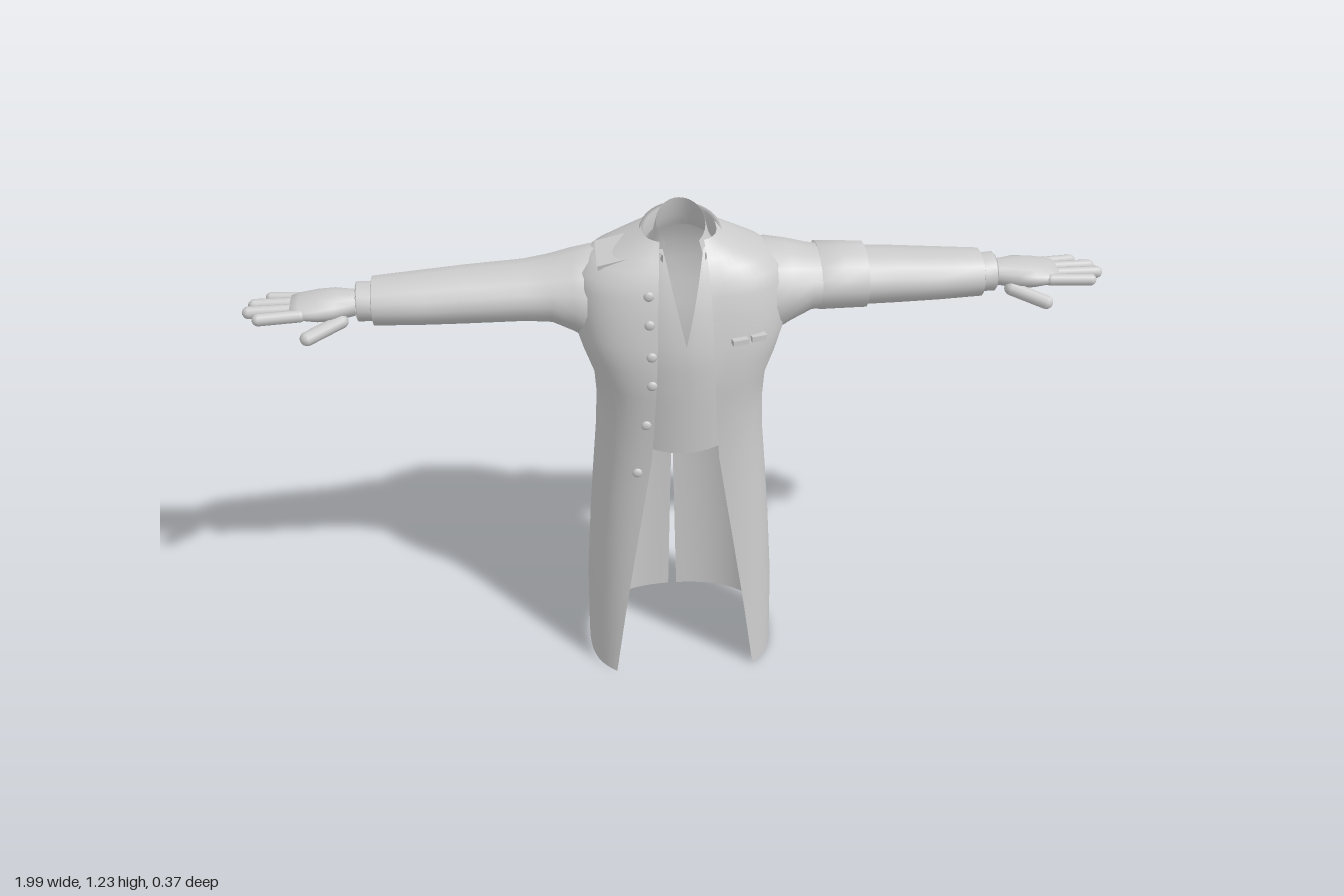
import * as THREE from 'three';
import { mergeGeometries, mergeVertices } from 'three/addons/utils/BufferGeometryUtils.js';

const cloth = new THREE.MeshStandardMaterial({ color: 0xcccccc, side: THREE.DoubleSide });

// Skin a grid of cross-sections (rows of [x, y, z]) into a smooth sheet
function loft(rows, flip = false) {
  const n = rows[0].length, index = [];
  for (let i = 0; i < rows.length - 1; i++) {
    for (let j = 0; j < n - 1; j++) {
      const a = i * n + j, b = a + n;
      if (flip) index.push(a, a + 1, b, b, a + 1, b + 1);
      else index.push(a, b, a + 1, b, b + 1, a + 1);
    }
  }
  const g = new THREE.BufferGeometry();
  g.setAttribute('position', new THREE.Float32BufferAttribute(rows.flat(2), 3));
  g.setIndex(index);
  return g;
}

function add(parent, name, geometry) {
  const mesh = new THREE.Mesh(geometry, cloth);
  mesh.name = name;
  parent.add(mesh);
  return mesh;
}

function smooth(...parts) {
  const g = mergeVertices(mergeGeometries(parts), 1e-4);
  g.computeVertexNormals();
  return g;
}

// Closed tube along x; rows are [x, top, bottom, front, back]
function sleeveGeometry(rows, s, sides = 16) {
  const rings = rows.map(([x, top, bot, zf, zb]) => {
    const ring = [];
    for (let j = 0; j <= sides; j++) {
      const a = (j % sides) / sides * Math.PI * 2;
      ring.push([s * x, (top + bot) / 2 + Math.cos(a) * (top - bot) / 2,
        (zf + zb) / 2 + Math.sin(a) * (zf - zb) / 2]);
    }
    return ring;
  });
  return smooth(loft(rings, s > 0));
}

// Coat levels: y, half width, front edge z, back depth, opening half width, slit half width
const COAT = [
  [0, 0.236, 0.165, 0.182, 0.175, 0.011], [0.2, 0.234, 0.165, 0.18, 0.148, 0.007],
  [0.4, 0.222, 0.165, 0.176, 0.118, 0.003], [0.53, 0.212, 0.165, 0.171, 0.098, 0],
  [0.65, 0.202, 0.167, 0.16, 0.08, 0], [0.75, 0.198, 0.172, 0.148, 0.073, 0],
  [0.83, 0.203, 0.178, 0.14, 0.069, 0], [0.9, 0.228, 0.182, 0.145, 0.066, 0],
  [0.96, 0.246, 0.174, 0.151, 0.064, 0], [1.02, 0.247, 0.163, 0.155, 0.062, 0],
  [1.07, 0.243, 0.15, 0.146, 0.06, 0], [1.1, 0.232, 0.138, 0.136, 0.058, 0],
  [1.125, 0.2, 0.125, 0.126, 0.056, 0], [1.147, 0.15, 0.11, 0.115, 0.054, 0],
  [1.165, 0.112, 0.09, 0.1, 0.052, 0], [1.178, 0.085, 0.075, 0.086, 0.05, 0],
];

function coatHalf(s) {
  const N = 24, nf = 2.8, nb = 2.3;
  const rows = COAT.map(([y, w, zEdge, zb, open, slit]) => {
    const end = Math.acos(Math.pow(open / w, nf / 2));
    const zf = zEdge / Math.pow(Math.sin(end), 2 / nf);
    const row = [];
    for (let j = 0; j <= N; j++) {
      const t = -Math.PI / 2 + (end + Math.PI / 2) * j / N;
      const front = t > 0, e = 2 / (front ? nf : nb);
      const x = j === 0 ? 0 : w * Math.pow(Math.cos(t), e);
      const z = Math.pow(Math.abs(Math.sin(t)), e) * (front ? zf : -zb);
      row.push([s * Math.max(x, slit) - 0.004, y, z]);
    }
    return row;
  });
  return loft(rows, s < 0);
}

// Shirt front levels: y, z at the middle, half width of the neck opening
const SHIRT = [[0.65, 0.142, 0], [0.78, 0.15, 0], [0.88, 0.157, 0], [0.945, 0.152, 0],
  [1.02, 0.137, 0.017], [1.08, 0.115, 0.03], [1.12, 0.095, 0.038], [1.155, 0.072, 0.046]];

function shirtHalf(s) {
  return loft(SHIRT.map(([y, z, v]) => {
    const row = [], outer = y > 1.1 ? 0.09 : 0.15;
    for (let j = 0; j <= 8; j++) {
      const x = v + (outer - v) * j / 8;
      row.push([s * x, y + (y < 0.7 ? x * x : 0), z - 2.6 * x * x]);
    }
    return row;
  }), s > 0);
}

// Open band round the neck; rows are [x radius, z back, z front, y back, y front]
function collarGeometry(rows, reach) {
  return smooth(loft(rows.map(([rx, zb, zf, yb, yf]) => {
    const row = [];
    for (let j = 0; j <= 28; j++) {
      const a = reach * (j / 14 - 1), k = (1 - Math.cos(a)) / 2;
      row.push([rx * Math.sin(a), yb + (yf - yb) * k, zb + (zf - zb) * k]);
    }
    return row;
  })));
}

// Rounded finger running between two points
function finger(parent, name, a, b, r) {
  const p = new THREE.Vector3(...a), q = new THREE.Vector3(...b);
  const mesh = add(parent, name, new THREE.CapsuleGeometry(r, p.distanceTo(q) - r, 5, 10));
  mesh.position.copy(p).lerp(q, 0.5);
  mesh.quaternion.setFromUnitVectors(new THREE.Vector3(0, 1, 0), q.sub(p).normalize());
}

function createArm(s) {
  const arm = new THREE.Group();
  arm.name = s > 0 ? 'leftArm' : 'rightArm';
  add(arm, 'sleeve', sleeveGeometry([
    [0.14, 1.12, 0.9, 0.1, -0.12], [0.2, 1.128, 0.895, 0.112, -0.128],
    [0.25, 1.118, 0.93, 0.102, -0.12], [0.3, 1.105, 0.958, 0.09, -0.108],
    [0.36, 1.098, 0.963, 0.082, -0.095], [0.5, 1.092, 0.965, 0.08, -0.086],
    [0.6, 1.086, 0.968, 0.078, -0.077], [0.704, 1.08, 0.973, 0.074, -0.066],
    [0.706, 1.074, 0.979, 0.068, -0.06], [0.67, 1.07, 0.983, 0.064, -0.056],
  ], s));
  add(arm, 'shirtCuff', sleeveGeometry([
    [0.66, 1.066, 0.984, 0.058, -0.052], [0.738, 1.071, 0.98, 0.056, -0.05],
    [0.742, 1.066, 0.985, 0.051, -0.045], [0.7, 1.06, 0.99, 0.045, -0.04],
  ], s));
  add(arm, 'palm', sleeveGeometry([
    [0.69, 1.05, 0.995, 0.034, -0.03], [0.745, 1.052, 0.994, 0.038, -0.034],
    [0.79, 1.057, 0.988, 0.056, -0.045], [0.83, 1.052, 0.992, 0.064, -0.05],
    [0.87, 1.043, 1.0, 0.062, -0.05], [0.89, 1.036, 1.005, 0.055, -0.046],
    [0.893, 1.02, 1.02, 0.005, 0.005],
  ], s));
  // Four fingers and the thumb
  [[0.05, 0.062, 0.965], [0.021, 0.026, 0.99], [-0.009, -0.008, 0.98], [-0.037, -0.042, 0.945]]
    .forEach(([z0, z1, tip], i) =>
      finger(arm, 'finger' + (i + 1), [s * 0.86, 1.021, z0], [s * tip, 1.022, z1], 0.0145 - (i === 3 ? 0.002 : 0)));
  finger(arm, 'thumb', [s * 0.77, 1.0, 0.04], [s * 0.86, 0.975, 0.082], 0.017);
  return arm;
}

export function createModel() {
  const model = new THREE.Group();
  model.name = 'coat';

  // Long open coat with a slit up the back
  add(model, 'coatBody', smooth(coatHalf(1), coatHalf(-1)));
  add(model, 'shirtFront', smooth(shirtHalf(1), shirtHalf(-1)));
  add(model, 'shirtCollar', collarGeometry([
    [0.08, -0.07, 0.08, 1.15, 1.1], [0.066, -0.055, 0.072, 1.18, 1.13],
    [0.056, -0.045, 0.064, 1.228, 1.155]], 2.4));
  add(model, 'coatCollar', collarGeometry([
    [0.086, -0.085, 0.095, 1.15, 1.09], [0.084, -0.08, 0.1, 1.195, 1.145],
    [0.094, -0.09, 0.112, 1.197, 1.15], [0.118, -0.113, 0.135, 1.155, 1.085]], 2.55));

  for (const s of [1, -1]) model.add(createArm(s));

  // Band round the left upper arm
  add(model, 'armband', sleeveGeometry([
    [0.322, 1.095, 0.965, 0.08, -0.095], [0.32, 1.109, 0.957, 0.092, -0.107],
    [0.375, 1.107, 0.957, 0.09, -0.103], [0.43, 1.104, 0.957, 0.088, -0.098],
    [0.428, 1.09, 0.967, 0.077, -0.085]], 1));

  // Buttons down the right front edge
  [[-0.085, 1.08, 0.148], [-0.085, 1.016, 0.165], [-0.082, 0.94, 0.178],
    [-0.082, 0.866, 0.181], [-0.096, 0.754, 0.172], [-0.118, 0.615, 0.162]].forEach(([x, y, z]) => {
    const button = add(model, 'button', new THREE.SphereGeometry(0.012, 12, 8));
    button.scale.z = 0.5;
    button.position.set(x, y, z);
  });

  // Small bars on the left chest
  for (const x of [0.118, 0.162]) {
    const bar = add(model, 'chestBar', new THREE.BoxGeometry(0.036, 0.013, 0.025));
    bar.position.set(x, 0.967, 0.166 - (x - 0.118) * 0.35);
    bar.rotation.y = 0.25;
  }

  // Flap on the right shoulder
  const flap = add(model, 'shoulderFlap', new THREE.BoxGeometry(0.07, 0.012, 0.1));
  flap.position.set(-0.16, 1.138, 0.035);
  flap.rotation.set(0.15, 0, 0.25);
  return model;
}
